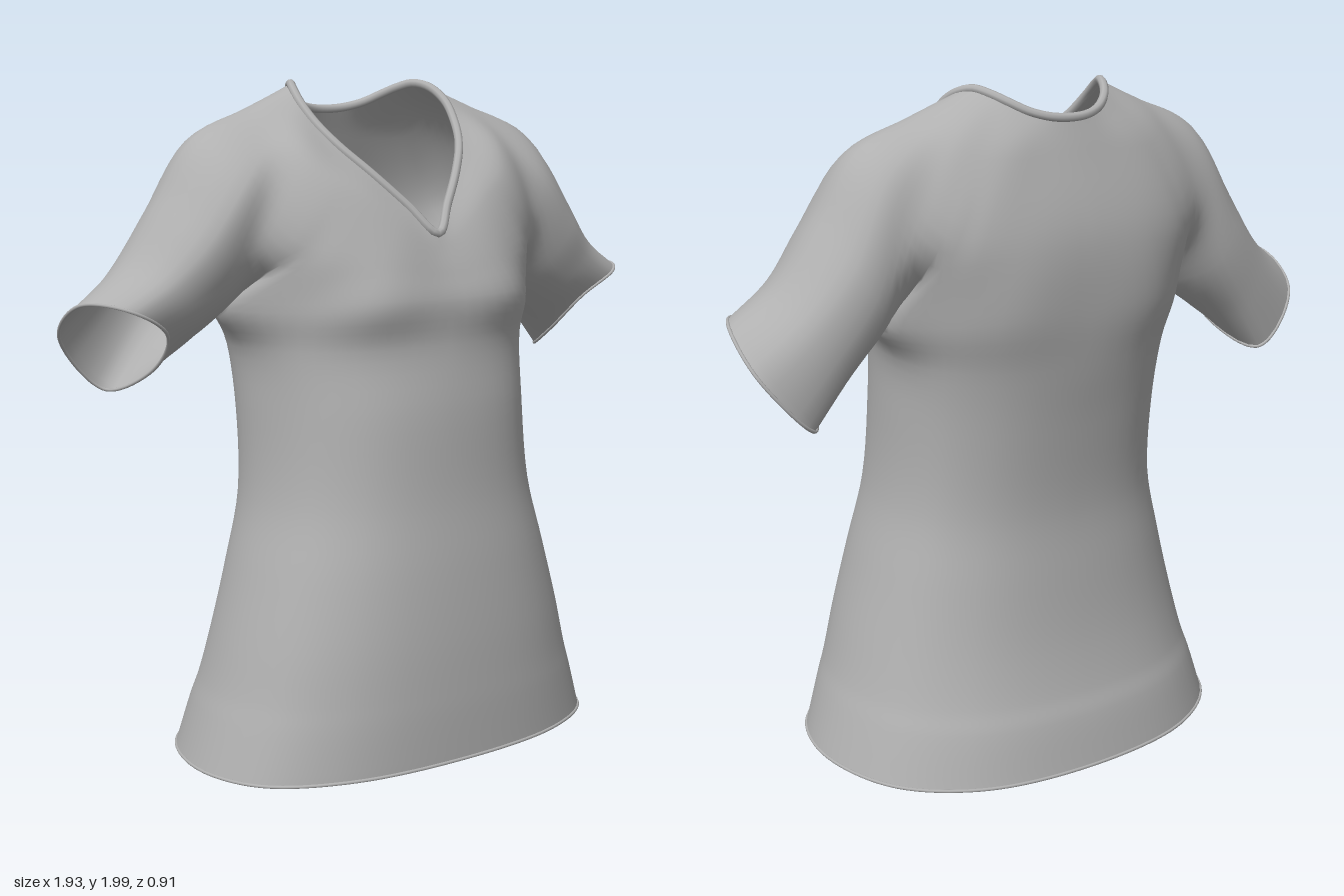
import * as THREE from 'three';
import { mergeVertices } from 'three/addons/utils/BufferGeometryUtils.js';

const K = 5; // steps between neighbouring key points
const V = (p) => new THREE.Vector3(...p);
const flip = (v) => new THREE.Vector3(-v.x, v.y, v.z);
const mid = (a, b) => a.clone().add(b).multiplyScalar(0.5);

// Half loops from centre front, over the sleeve, to centre back
const NECK = [
  [0, 1.572, 0.295], [0.07, 1.65, 0.245], [0.15, 1.74, 0.18], [0.213, 1.815, 0.11], [0.247, 1.88, 0.04],
  [0.258, 1.935, -0.02], [0.246, 1.975, -0.08], [0.222, 1.988, -0.13], [0.195, 1.975, -0.18],
  [0.165, 1.955, -0.22], [0.12, 1.93, -0.255], [0.065, 1.915, -0.278], [0, 1.91, -0.285]];
const COLLAR = [
  [0, 1.53, 0.312], [0.12, 1.6, 0.29], [0.22, 1.67, 0.25], [0.31, 1.72, 0.205], [0.36, 1.8, 0.13],
  [0.385, 1.86, 0.04], [0.39, 1.92, -0.08], [0.38, 1.9, -0.17], [0.355, 1.86, -0.235],
  [0.3, 1.82, -0.28], [0.22, 1.815, -0.305], [0.12, 1.81, -0.315], [0, 1.81, -0.32]];
const SHOULDER = [
  [0, 1.46, 0.34], [0.19, 1.49, 0.335], [0.33, 1.51, 0.27], [0.42, 1.53, 0.19], [0.48, 1.6, 0.145],
  [0.53, 1.72, 0.125], [0.58, 1.84, -0.07], [0.55, 1.78, -0.21], [0.5, 1.65, -0.265],
  [0.43, 1.58, -0.3], [0.34, 1.58, -0.345], [0.2, 1.59, -0.375], [0, 1.6, -0.382]];

// Where the yoke divides into body and sleeve; both loops share the armpit
const ARMPIT = [0.51, 1.355, -0.08];
const CHEST = [[0, 1.38, 0.365], [0.24, 1.38, 0.352], [0.4, 1.365, 0.2], ARMPIT,
  [0.41, 1.365, -0.27], [0.25, 1.38, -0.37], [0, 1.39, -0.387]];
const SLEEVE = [
  [ARMPIT, [0.56, 1.42, 0.09], [0.65, 1.56, 0.13], [0.7, 1.665, -0.07], [0.67, 1.56, -0.24], [0.585, 1.42, -0.25]],
  [[0.63, 1.265, -0.07], [0.66, 1.36, 0.085], [0.745, 1.465, 0.105], [0.82, 1.495, -0.06], [0.8, 1.41, -0.225], [0.71, 1.255, -0.235]],
  [[0.73, 1.2, -0.06], [0.75, 1.32, 0.07], [0.86, 1.39, 0.085], [0.95, 1.4, -0.05], [0.945, 1.29, -0.2], [0.8, 1.13, -0.225]]];

// Body sections: height, half width, front z, back z, side z
const BODY = [
  [1.24, 0.442, 0.362, -0.37, -0.05], [1.05, 0.43, 0.385, -0.343, -0.02], [0.8, 0.444, 0.4, -0.32, 0.01],
  [0.6, 0.495, 0.425, -0.335, 0.03], [0.4, 0.55, 0.443, -0.36, 0.04], [0.25, 0.59, 0.45, -0.395, 0.04],
  [0.18, 0.614, 0.452, -0.42, 0.04], [0.032, 0.662, 0.452, -0.453, 0.04]];

function bodyKeys([y, w, zf, zb, zs]) {
  return Array.from({ length: 7 }, (_, i) => {
    const a = (i * Math.PI) / 6;
    const s = Math.sin(a), c = Math.cos(a);
    const reach = c > 0 ? zf - zs : zs - zb;
    const x = i % 6 === 0 ? 0 : w * Math.pow(s, 2 / 2.4);
    return [x, y + 0.02 * c, zs + reach * Math.sign(c) * Math.pow(Math.abs(c), 2 / 2.4)];
  });
}

// Smooth half loop, with mirrored neighbours beyond both centre lines
function halfLoop(keys) {
  const k = keys.map(V), n = k.length;
  const curve = new THREE.CatmullRomCurve3([flip(k[1]), ...k, flip(k[n - 2])]);
  return Array.from({ length: (n - 1) * K + 1 }, (_, s) => curve.getPoint((1 + s / K) / (n + 1)));
}

function closedLoop(keys) {
  const curve = new THREE.CatmullRomCurve3(keys.map(V), true);
  const n = keys.length * K;
  const pts = Array.from({ length: n }, (_, s) => curve.getPoint(s / n));
  return [...pts, pts[0].clone()];
}

// Lofts a grid through rings; 'before' and 'after' only guide the end tangents
function loft(rings, before, after, steps) {
  const columns = rings[0].map((_, j) => {
    const pts = rings.map((r) => r[j]);
    const lead = before ? 1 : 0;
    if (before) pts.unshift(before[j]);
    if (after) pts.push(after[j]);
    const curve = new THREE.CatmullRomCurve3(pts);
    const rows = (rings.length - 1) * steps;
    return Array.from({ length: rows + 1 }, (_, i) => curve.getPoint((lead + i / steps) / (pts.length - 1)));
  });
  return columns;
}

// Writes the triangles of a grid and of its mirror image
function addGrid(out, columns) {
  const tri = (a, b, c) => {
    for (const p of [a, b, c]) out.push(p.x, p.y, p.z);
    for (const p of [a, c, b]) out.push(-p.x, p.y, p.z);
  };
  for (let j = 0; j < columns.length - 1; j++) {
    for (let i = 0; i < columns[j].length - 1; i++) {
      const a = columns[j][i], b = columns[j][i + 1];
      const c = columns[j + 1][i + 1], d = columns[j + 1][i];
      tri(a, b, c);
      tri(a, c, d);
    }
  }
}

export function createModel() {
  const group = new THREE.Group();
  group.name = 'shirt';
  const cloth = new THREE.MeshStandardMaterial({ color: 0xb0b0b0, side: THREE.DoubleSide });
  cloth.name = 'grey cloth';

  const neck = halfLoop(NECK), collar = halfLoop(COLLAR), shoulder = halfLoop(SHOULDER);
  const chest = halfLoop(CHEST);
  const body = BODY.map((b) => halfLoop(bodyKeys(b)));
  const sleeve = SLEEVE.map(closedLoop);
  const f = 3 * K, g = 9 * K; // columns of the front and back sleeve seams

  // Joins a body half loop and a sleeve loop into one yoke loop
  const joined = (b, s) => {
    const seam = mid(b[f], s[0]);
    return [...b.slice(0, f), seam, ...s.slice(1, -1), seam.clone(), ...b.slice(f + 1)];
  };
  const split = joined(chest, sleeve[0]);
  const below = joined(body[0], sleeve[1]);
  const bodyGuide = [...shoulder.slice(0, f), mid(shoulder[f], shoulder[g]), ...shoulder.slice(g + 1)];
  const sleeveGuide = shoulder.slice(f, g + 1);
  sleeveGuide[0] = sleeveGuide[6 * K] = bodyGuide[f];

  // Yoke, body and sleeves as one continuous cloth
  const out = [];
  addGrid(out, loft([neck, collar, shoulder, split], null, below, 6));
  addGrid(out, loft([chest, ...body], bodyGuide, null, 5));
  addGrid(out, loft(sleeve, sleeveGuide, null, 7));
  let geo = new THREE.BufferGeometry();
  geo.setAttribute('position', new THREE.Float32BufferAttribute(out, 3));
  geo = mergeVertices(geo, 1e-4);
  geo.computeVertexNormals();
  const fabric = new THREE.Mesh(geo, cloth);
  fabric.name = 'bodyAndSleeves';
  group.add(fabric);

  // Rolled edges at the neck, hem and cuffs
  const edge = (name, pts, radius) => {
    const path = new THREE.CatmullRomCurve3(pts, true);
    const mesh = new THREE.Mesh(new THREE.TubeGeometry(path, 120, radius, 8, true), cloth);
    mesh.name = name;
    group.add(mesh);
  };
  const wholeLoop = (half) => [...half, ...half.slice(1, -1).reverse().map(flip)];
  const cuff = sleeve[2].slice(0, -1);
  edge('neckband', wholeLoop(neck), 0.013);
  edge('hemEdge', wholeLoop(body[body.length - 1]), 0.005);
  edge('leftCuffEdge', cuff, 0.005);
  edge('rightCuffEdge', cuff.map(flip), 0.005);
  return group;
}
